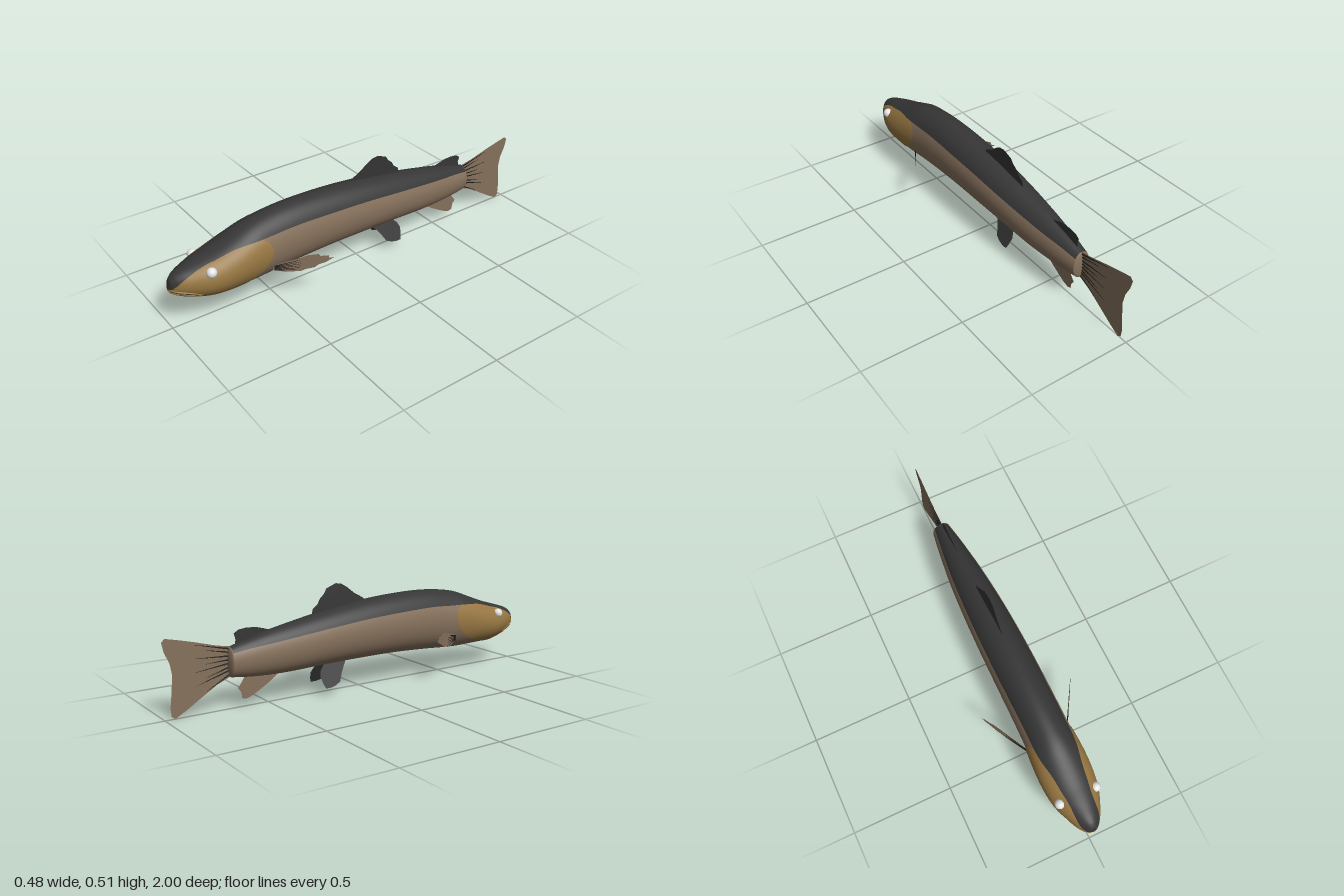
import * as THREE from 'three';

const material = (name, color) => {
  const m = new THREE.MeshStandardMaterial({ color, side: THREE.DoubleSide });
  m.name = name;
  return m;
};

// Body sections along z: top y, bottom y, half width, height of the colour edge
const sections = [
  [-0.685, 0.286, 0.147, 0.046, 0.262], [-0.6, 0.31, 0.137, 0.06, 0.277],
  [-0.5, 0.335, 0.131, 0.073, 0.289], [-0.4, 0.355, 0.13, 0.085, 0.302],
  [-0.2, 0.391, 0.137, 0.1, 0.326], [0, 0.419, 0.14, 0.108, 0.346],
  [0.2, 0.434, 0.139, 0.111, 0.357], [0.4, 0.435, 0.13, 0.112, 0.361],
  [0.52, 0.423, 0.122, 0.114, 0.355], [0.6, 0.407, 0.119, 0.12, 0.352],
  [0.7, 0.37, 0.122, 0.123, 0.342], [0.8, 0.334, 0.126, 0.115, 0.316],
  [0.85, 0.32, 0.134, 0.103, 0.304], [0.9, 0.305, 0.147, 0.083, 0.285],
  [0.95, 0.288, 0.165, 0.058, 0.258], [0.98, 0.27, 0.182, 0.036, 0.232],
  [0.994, 0.25, 0.195, 0.02, 0.218], [1, 0.218, 0.212, 0.003, 0.215],
];
const profile = new THREE.CubicInterpolant(
  sections.map(s => s[0]), sections.flatMap(s => s.slice(1)), 4, new Float32Array(4));

function sectionAt(z) {
  const [top, bottom, w, edge] = profile.evaluate(z);
  const c = (top + bottom) / 2, h = Math.max((top - bottom) / 2, 1e-4);
  const edgeAngle = Math.asin(THREE.MathUtils.clamp((edge - c) / h, -0.98, 0.98));
  return { c, h, w: Math.max(w, 0), edgeAngle };
}

// Rear edge of the head colour, from belly (s = 0) to the back's edge (s = 1)
const gill = new THREE.LinearInterpolant(
  [0, 0.1, 0.2, 0.35, 0.5, 0.65, 0.8, 0.92, 1],
  [0.985, 0.9, 0.77, 0.66, 0.59, 0.545, 0.53, 0.545, 0.575], 1, new Float32Array(1));
const gillZ = s => gill.evaluate(Math.abs(s))[0];

// Patch of skin: s runs around the body, u along it
function skinPatch(isBack, zStart, zEnd, rows, cols, raise = 0) {
  const pos = [], index = [];
  for (let i = 0; i <= rows; i++) {
    const u = i / rows;
    for (let j = 0; j <= cols; j++) {
      const s = -1 + 2 * j / cols;
      const z = THREE.MathUtils.lerp(zStart(s), zEnd(s), Math.sin(u * Math.PI / 2));
      const { c, h, w, edgeAngle } = sectionAt(z);
      const a = isBack
        ? Math.PI / 2 + s * (Math.PI / 2 - edgeAngle)
        : -Math.PI / 2 + s * (Math.PI / 2 + edgeAngle);
      const k = 1 + raise * (1 - u) * (1 - s ** 8);
      pos.push(w * k * Math.cos(a), c + h * k * Math.sin(a), z);
      if (i < rows && j < cols) {
        const p = i * (cols + 1) + j, q = p + cols + 1;
        index.push(p, p + 1, q, p + 1, q + 1, q);
      }
    }
  }
  const g = new THREE.BufferGeometry();
  g.setAttribute('position', new THREE.Float32BufferAttribute(pos, 3));
  g.setIndex(index);
  g.computeVertexNormals();
  return g;
}

// Flat fin from an outline, placed in space by a linear rule
function finGeometry(outline, place) {
  const g = new THREE.ShapeGeometry(new THREE.Shape(outline.map(p => new THREE.Vector2(...p))));
  const p = g.attributes.position;
  for (let i = 0; i < p.count; i++) p.setXYZ(i, ...place(p.getX(i), p.getY(i)));
  g.computeVertexNormals();
  return g;
}

// Tapered spine between two points
function rayGeometry(a, b, radius) {
  const from = new THREE.Vector3(...a), to = new THREE.Vector3(...b);
  const dir = to.clone().sub(from), len = dir.length();
  const g = new THREE.CylinderGeometry(radius * 0.15, radius, len, 5);
  g.applyQuaternion(new THREE.Quaternion().setFromUnitVectors(new THREE.Vector3(0, 1, 0), dir.normalize()));
  const mid = from.add(to).multiplyScalar(0.5);
  return g.translate(mid.x, mid.y, mid.z);
}

export function createModel() {
  const group = new THREE.Group();
  const back = material('charcoal back', 0x363636);
  const skin = material('brown skin', 0x86715c);
  const gold = material('golden head', 0x967641);
  const white = material('eye white', 0xe4e4e4);
  const black = material('black rays', 0x161616);
  const add = (name, geometry, mat) => {
    const mesh = new THREE.Mesh(geometry, mat);
    mesh.name = name;
    group.add(mesh);
    return mesh;
  };

  // Body and head
  const tailZ = () => -0.685;
  add('back', skinPatch(true, tailZ, () => 1, 90, 28), back);
  add('flanks', skinPatch(false, tailZ, s => Math.min(gillZ(s) + 0.015, 1), 70, 60), skin);
  add('head', skinPatch(false, gillZ, () => 1, 40, 80, 0.03), gold);
  add('tailStump', new THREE.SphereGeometry(1, 24, 12).scale(0.046, 0.0695, 0.012)
    .translate(0, 0.2165, -0.685), skin);

  // Fins on the middle line: outlines in z, y
  const upright = (z, y) => [0.002, y, z];
  add('dorsalFin', finGeometry([
    [0.05, 0.4], [0.03, 0.432], [-0.02, 0.46], [-0.06, 0.492], [-0.09, 0.51], [-0.12, 0.515],
    [-0.15, 0.505], [-0.175, 0.495], [-0.19, 0.472], [-0.215, 0.45], [-0.23, 0.425],
    [-0.255, 0.408], [-0.26, 0.385], [-0.22, 0.36],
  ], (z, y) => [Math.max(0, (y - 0.42) * 0.1), y, z]), back);
  add('adiposeFin', finGeometry([
    [-0.46, 0.33], [-0.51, 0.347], [-0.55, 0.358], [-0.6, 0.362], [-0.64, 0.357],
    [-0.663, 0.342], [-0.655, 0.315], [-0.66, 0.28], [-0.6, 0.28],
  ], upright), back);
  add('analFin', finGeometry([
    [-0.42, 0.15], [-0.46, 0.115], [-0.5, 0.088], [-0.55, 0.06], [-0.58, 0.044], [-0.61, 0.034],
    [-0.63, 0.04], [-0.635, 0.07], [-0.65, 0.09], [-0.63, 0.115], [-0.61, 0.15],
  ], upright), skin);
  add('tailFin', finGeometry([
    [-0.67, 0.285], [-0.75, 0.3], [-0.85, 0.328], [-0.93, 0.348], [-0.985, 0.36], [-1, 0.345],
    [-0.99, 0.3], [-0.967, 0.25], [-0.958, 0.2], [-0.963, 0.13], [-0.972, 0.05], [-0.968, 0.012],
    [-0.95, 0.002], [-0.9, 0.03], [-0.82, 0.08], [-0.75, 0.122], [-0.67, 0.155],
  ], upright), skin);
  for (let i = 0; i < 8; i++) {
    const t = i / 7, len = i % 2 ? 0.85 : 0.8;
    add('tailRay', rayGeometry([0.002, 0.165 + 0.11 * t, -0.68],
      [0.002, 0.1 + 0.215 * t, -len], 0.004), black);
  }

  // Paired parts
  for (const side of [1, -1]) {
    const prefix = side > 0 ? 'left' : 'right';

    add(prefix + 'Eye', new THREE.SphereGeometry(0.024, 24, 16)
      .translate(side * 0.091, 0.28, 0.83), white);

    add(prefix + 'PelvicFin', finGeometry([
      [-0.08, 0.15], [-0.1, 0.125], [-0.125, 0.09], [-0.145, 0.055], [-0.17, 0.043], [-0.2, 0.036],
      [-0.23, 0.036], [-0.238, 0.06], [-0.245, 0.09], [-0.235, 0.115], [-0.2, 0.15],
    ], (z, y) => [side * (0.03 + (0.12 - y) * 0.48), y, z]), back);

    // Pectoral fin: outline in x, y, swept back with x
    const sweep = (x, y) => [side * x, y, 0.52 - (x - 0.11) * 1.72];
    add(prefix + 'PectoralFin', finGeometry([
      [0.1, 0.18], [0.105, 0.205], [0.135, 0.222], [0.165, 0.236], [0.18, 0.247], [0.205, 0.251],
      [0.21, 0.24], [0.228, 0.241], [0.228, 0.228], [0.24, 0.229], [0.222, 0.206], [0.205, 0.195],
      [0.195, 0.18], [0.175, 0.174], [0.165, 0.165], [0.13, 0.165],
    ], sweep), skin);
    for (let i = 0; i < 6; i++) {
      const t = i / 5;
      add(prefix + 'PectoralRay', rayGeometry(sweep(0.105, 0.178 + 0.022 * t),
        sweep(0.165, 0.173 + 0.052 * t), 0.003), black);
    }

    // Lips and mouth line following the jaw
    const jaw = drop => new THREE.CatmullRomCurve3(
      [[0.996, 0.213], [0.975, 0.208], [0.945, 0.202], [0.91, 0.192], [0.875, 0.176]].map(([z, y]) => {
        const { c, h, w } = sectionAt(z);
        const v = Math.min(Math.abs((y - drop - c) / h), 1);
        return new THREE.Vector3(side * w * Math.sqrt(1 - v * v), y - drop, z);
      }));
    add(prefix + 'UpperLip', new THREE.TubeGeometry(jaw(0), 24, 0.005, 8), gold);
    add(prefix + 'MouthLine', new THREE.TubeGeometry(jaw(0.006), 24, 0.003, 6), black);
    add(prefix + 'LowerLip', new THREE.TubeGeometry(jaw(0.012), 24, 0.005, 8), gold);
  }
  return group;
}
